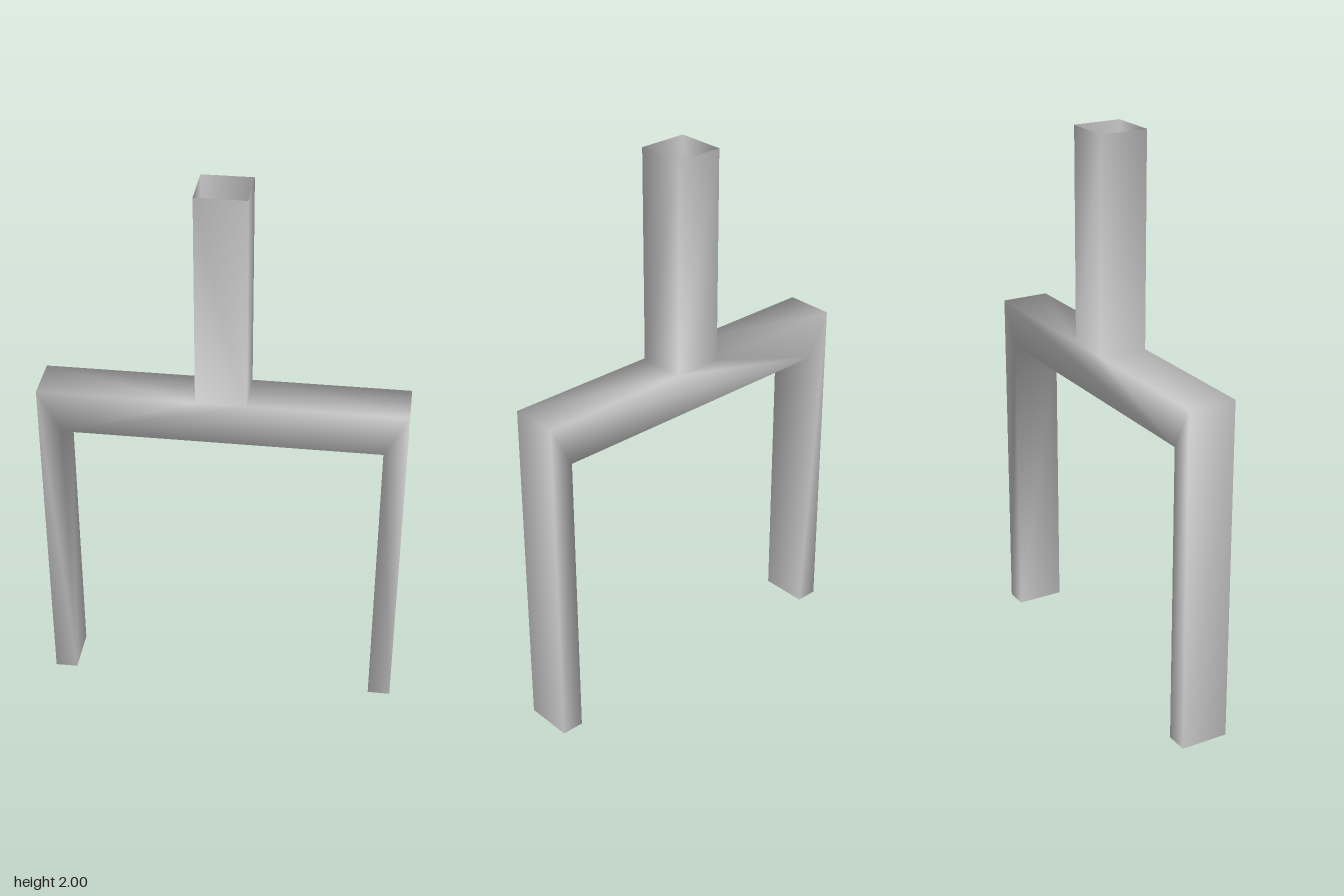
import * as THREE from 'three';
import { mergeVertices } from 'three/addons/utils/BufferGeometryUtils.js';

const DEPTH = 0.174;
const TOP = 2;

// Removes the faces lying on the plane y = level, leaving the tube open there
function openAt(geometry, level) {
  const p = geometry.attributes.position;
  const kept = [];
  for (let i = 0; i < p.count; i += 3) {
    const onPlane = [0, 1, 2].every((k) => Math.abs(p.getY(i + k) - level) < 1e-4);
    if (onPlane) continue;
    for (let k = 0; k < 3; k++) kept.push(p.getX(i + k), p.getY(i + k), p.getZ(i + k));
  }
  const open = new THREE.BufferGeometry();
  open.setAttribute('position', new THREE.Float32BufferAttribute(kept, 3));
  return open;
}

export function createModel() {
  const group = new THREE.Group();
  group.name = 'fork';

  // Right half of the outline, from the stem top down to the inside of the leg
  const half = [
    [0.088, TOP], [0.088, 1.238], [0.638, 1.238],
    [0.638, 0], [0.557, 0], [0.557, 1.083],
  ];
  const mirrored = half.map(([x, y]) => [-x, y]).reverse();
  const outline = [...half, ...mirrored].map(([x, y]) => new THREE.Vector2(x, y));

  // Hollow shell: two legs, crossbar and stem, open at the stem top
  const solid = new THREE.ExtrudeGeometry(new THREE.Shape(outline), {
    depth: DEPTH, bevelEnabled: false,
  });
  solid.translate(0, 0, -DEPTH / 2);

  // Shared corners give the soft shading that runs over the edges
  const shell = mergeVertices(openAt(solid, TOP), 1e-4);
  shell.computeVertexNormals();

  const material = new THREE.MeshStandardMaterial({ color: 0xcccccc, side: THREE.DoubleSide });
  const mesh = new THREE.Mesh(shell, material);
  mesh.name = 'forkLegsCrossbarAndStem';
  group.add(mesh);
  return group;
}
